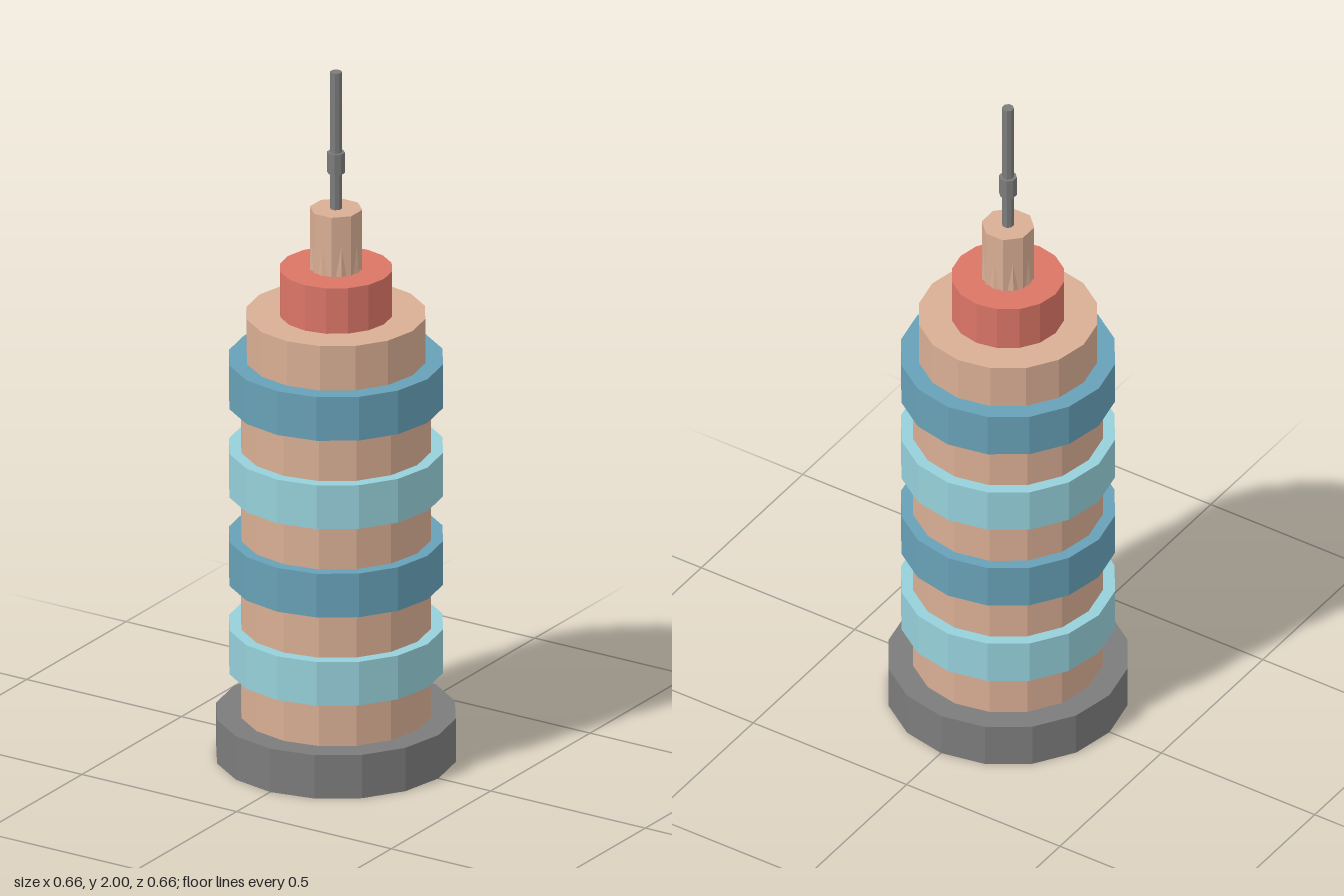
import * as THREE from 'three';

export function createModel() {
  const group = new THREE.Group();
  group.name = 'tower';

  const mat = (name, color) => new THREE.MeshStandardMaterial({ name, color, flatShading: true });
  const grey = mat('dark grey', 0x7c7c7c);
  const tan = mat('tan', 0xd9ae94);
  const pale = mat('pale teal', 0x96d0da);
  const blue = mat('slate blue', 0x67a1b7);
  const red = mat('brick red', 0xdb7566);

  // Upright prism from y0 to y1; half turns it so a flat side faces front
  function drum(name, material, y0, y1, radius, sides = 16, half = false, topRadius = radius) {
    const geo = new THREE.CylinderGeometry(topRadius, radius, y1 - y0, sides);
    if (half) geo.rotateY(Math.PI / sides);
    const mesh = new THREE.Mesh(geo, material);
    mesh.name = name;
    mesh.position.y = (y0 + y1) / 2;
    group.add(mesh);
  }

  // Base and storeys
  drum('base', grey, 0, 0.127, 0.331);
  for (let i = 0; i < 4; i++) {
    const y = 0.127 + i * 0.259;
    drum('storey' + (i + 1), tan, y, y + 0.131, 0.263);
    drum('balcony' + (i + 1), i % 2 ? blue : pale, y + 0.131, y + 0.259, 0.296);
  }

  // Stepped roof
  drum('upperStorey', tan, 1.163, 1.293, 0.247);
  drum('roofDrum', red, 1.293, 1.426, 0.155);

  // Octagonal turret with a tapering core showing at its foot
  drum('turret', tan, 1.426, 1.6, 0.0725, 8, true);
  drum('turretCore', tan, 1.426, 1.598, 0.073, 8, false, 0.061);

  // Mast and collar
  drum('mast', grey, 1.6, 2, 0.0165, 8, true);
  drum('mastCollar', grey, 1.705, 1.765, 0.0245, 8, true);

  return group;
}
